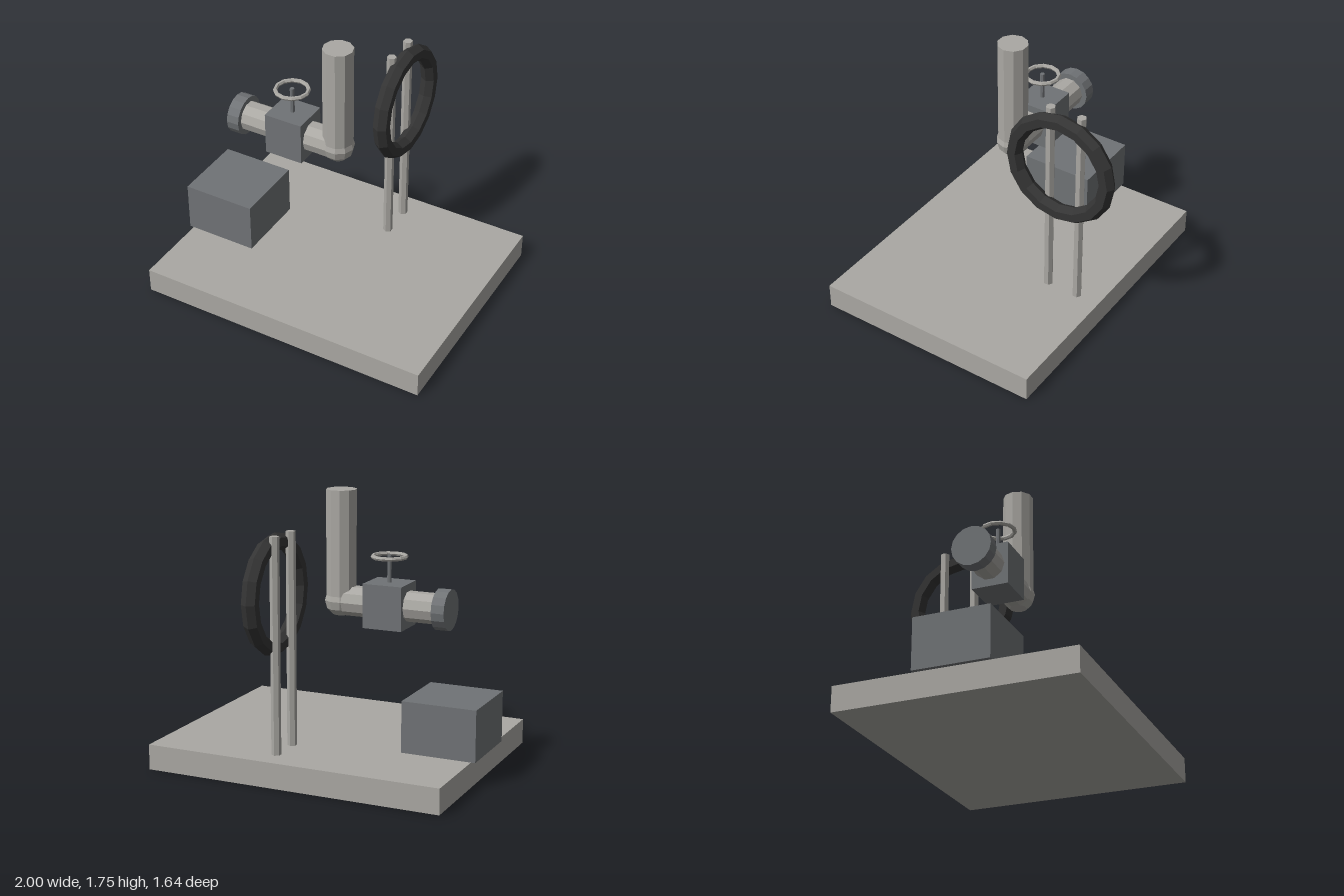
import * as THREE from 'three';

const flat = (name, color) => {
  const m = new THREE.MeshStandardMaterial({ color });
  m.name = name;
  m.flatShading = true;
  return m;
};

export function createModel() {
  const group = new THREE.Group();
  const paleGrey = flat('pale grey', 0xaaa8a3);
  const slateGrey = flat('slate grey', 0x707376);
  const rubberBlack = flat('rubber black', 0x343434);

  const add = (name, geometry, material, x, y, z) => {
    const mesh = new THREE.Mesh(geometry, material);
    mesh.name = name;
    mesh.position.set(x, y, z);
    group.add(mesh);
    return mesh;
  };
  const tube = (r, length, sides) => new THREE.CylinderGeometry(r, r, length, sides);

  // Ground slab and the block standing on it
  add('baseSlab', new THREE.BoxGeometry(1.972, 0.165, 1.53), paleGrey, 0.014, 0.0825, 0.053);
  add('equipmentBlock', new THREE.BoxGeometry(0.49, 0.333, 0.49), slateGrey, -0.755, 0.3315, 0.055);

  // Pipe run: horizontal pipe, elbow and riser
  const pipeY = 1.045, pipeZ = 0.054, riserX = 0.012;
  add('horizontalPipe', tube(0.098, 0.68, 10).rotateZ(Math.PI / 2), paleGrey, -0.328, pipeY, pipeZ);
  add('elbow', new THREE.SphereGeometry(0.107, 10, 6), paleGrey, riserX, pipeY, pipeZ);
  add('riserPipe', tube(0.098, 0.71, 10).rotateY(Math.PI / 2), paleGrey, riserX, 1.4, pipeZ);
  add('endFlange', tube(0.131, 0.085, 16).rotateZ(Math.PI / 2), slateGrey, -0.692, pipeY, pipeZ);

  // Valve with stem and handwheel
  const valveX = -0.319;
  add('valveBody', new THREE.BoxGeometry(0.262, 0.283, 0.242), slateGrey, valveX, pipeY, pipeZ);
  add('valveStem', tube(0.015, 0.175, 8), slateGrey, valveX, 1.272, pipeZ);
  add('handwheel', new THREE.TorusGeometry(0.106, 0.014, 6, 12).rotateX(Math.PI / 2),
    paleGrey, valveX, 1.35, pipeZ);

  // Two posts carrying the large ring
  for (const z of [-0.33, -0.548]) {
    add('ringPost', tube(0.031, 1.37, 6), paleGrey, 0.177, 0.85, z);
  }
  add('rubberRing', new THREE.TorusGeometry(0.33, 0.054, 6, 16).rotateY(Math.PI / 2),
    rubberBlack, 0.23, 1.155, -0.438);

  return group;
}
